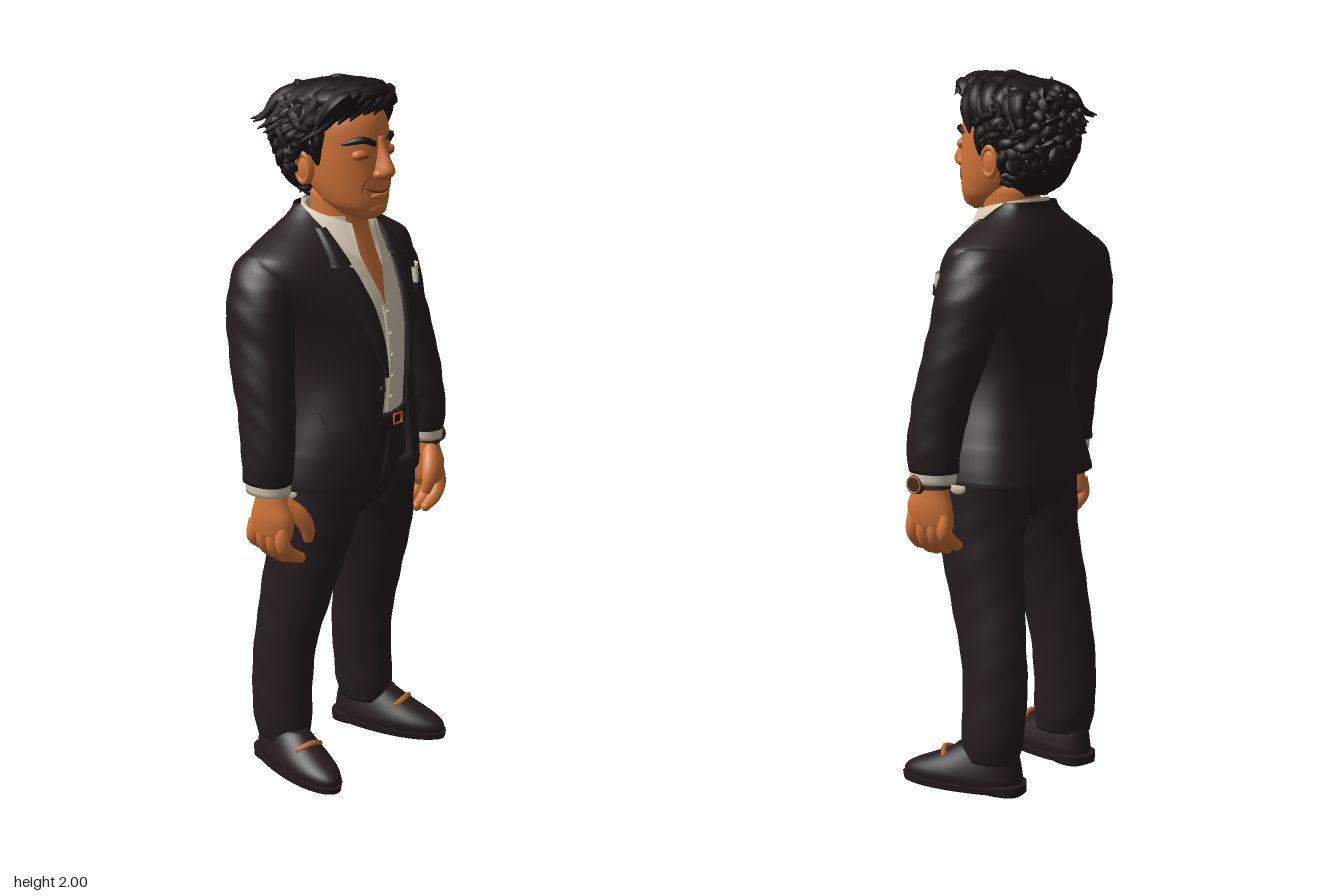
import * as THREE from 'three';
import { mergeGeometries, mergeVertices } from 'three/addons/utils/BufferGeometryUtils.js';

const mat = (name, color, side = THREE.FrontSide) => {
  const m = new THREE.MeshStandardMaterial({ color, side });
  m.name = name;
  return m;
};
const V = (x, y, z) => new THREE.Vector3(x, y, z);

// Ring: [y, centre x, half width, front z, back z, half width of front opening]
function sample(rings, y) {
  let i = 0;
  while (i < rings.length - 2 && y > rings[i + 1][0]) i++;
  const at = k => rings[Math.min(Math.max(k, 0), rings.length - 1)];
  const a = at(i - 1), b = at(i), c = at(i + 1), d = at(i + 2);
  const t = Math.min(Math.max((y - b[0]) / (c[0] - b[0]), 0), 1);
  return b.map((p, k) => k === 0 ? y : p + 0.5 * t * (c[k] - a[k]
    + t * (2 * a[k] - 5 * p + 4 * c[k] - d[k] + t * (3 * (p - c[k]) + d[k] - a[k]))));
}
const frontZ = (rings, x, y) => {
  const [, cx, rx, zf, zb] = sample(rings, y);
  return (zf + zb) / 2 + (zf - zb) / 2 * Math.sqrt(Math.max(0, 1 - ((x - cx) / rx) ** 2));
};
function grid(rows) {
  const pos = [], idx = [], n = rows[0].length;
  rows.forEach((r, i) => r.forEach((p, j) => {
    pos.push(p.x, p.y, p.z);
    if (!i || !j) return;
    const a = (i - 1) * n + j - 1;
    idx.push(a, a + 1, a + n, a + 1, a + n + 1, a + n);
  }));
  const g = new THREE.BufferGeometry();
  g.setAttribute('position', new THREE.Float32BufferAttribute(pos, 3));
  g.setIndex(idx);
  return g;
}
// Smooth body through horizontal rings, from the lowest upward
function loft(rings, { n = 36, steps = 4, back = 2, fold = 0, freq = 60, open = false } = {}) {
  const rows = [], ys = [rings[0][0]];
  for (let i = 1; i < rings.length; i++) for (let k = 1; k <= steps; k++)
    ys.push(THREE.MathUtils.lerp(rings[i - 1][0], rings[i][0], k / steps));
  for (const y of ys) {
    const [, cx, rx, zf, zb, gap = 0] = sample(rings, y);
    const a0 = open ? Math.asin(Math.min(1, Math.max(0, gap / rx))) : 0, row = [];
    for (let j = 0; j <= n; j++) {
      const a = a0 + (2 * Math.PI - 2 * a0) * j / n, s = Math.sin(a), c = Math.cos(a);
      const e = 2 / (c > 0 ? 2 : back), f = 1 + fold * Math.sin(y * freq + 3 * s + 2 * c) * Math.sin(y * 17 + 2 * c);
      row.push(V(cx + f * rx * Math.sign(s) * Math.abs(s) ** e, y,
        (zf + zb) / 2 + f * (zf - zb) / 2 * Math.sign(c) * Math.abs(c) ** e));
    }
    rows.push(row);
  }
  if (!open) {
    const cap = r => r.map(() => V(r.reduce((t, p) => t + p.x, 0) / r.length, r[0].y, (r[0].z + r[n / 2].z) / 2));
    rows.unshift(cap(rows[0]));
    rows.push(cap(rows[rows.length - 1]));
  }
  const g = open ? grid(rows) : mergeVertices(grid(rows), 1e-5);
  g.computeVertexNormals();
  return g;
}
// Tapered tube for fingers, locks and face lines
function taper(points, r, end = 0.1, start = 0.6, seg = 8, sides = 7) {
  const curve = new THREE.CatmullRomCurve3(points), g = new THREE.TubeGeometry(curve, seg, r, sides);
  const p = g.attributes.position, v = V(0, 0, 0);
  for (let i = 0; i < p.count; i++) {
    const u = Math.floor(i / (sides + 1)) / seg, c = curve.getPointAt(u);
    const k = u < 0.4 ? THREE.MathUtils.lerp(start, 1, u / 0.4) : 1 - (1 - end) * ((u - 0.4) / 0.6) ** 2;
    v.fromBufferAttribute(p, i).sub(c).multiplyScalar(k).add(c);
    p.setXYZ(i, v.x, v.y, v.z);
  }
  g.computeVertexNormals();
  return g;
}
// Raised panel lying on the front of a lofted body
function panel(rings, s, y0, y1, inner, outer, lift = 0.01) {
  const rows = [];
  for (let i = 0; i <= 14; i++) {
    const y = y0 + (y1 - y0) * i / 14, row = [];
    for (const u of [0, 0.04, 0.35, 0.65, 0.96, 1]) {
      const x = inner(y) + (outer(y) - inner(y)) * u;
      row.push(V(s * x, y, frontZ(rings, x, y) + (u === 0 || u === 1 ? -0.004 : lift)));
    }
    rows.push(s > 0 ? row : row.reverse());
  }
  const g = grid(rows);
  g.computeVertexNormals();
  return g;
}

const JACKET = [[0.882, 0, 0.252, 0.195, -0.192, 0.125], [0.9, 0, 0.25, 0.198, -0.188, 0.1], [0.95, 0, 0.238, 0.202, -0.177, 0.085],
  [1.0, 0, 0.222, 0.206, -0.163, 0.073], [1.1, 0, 0.19, 0.21, -0.147, 0.055], [1.2, 0, 0.174, 0.209, -0.155, 0.046],
  [1.3, 0, 0.192, 0.202, -0.172, 0.052], [1.4, 0, 0.235, 0.176, -0.18, 0.065], [1.48, 0, 0.28, 0.132, -0.18, 0.08],
  [1.53, 0, 0.28, 0.095, -0.17, 0.09], [1.565, 0, 0.222, 0.07, -0.157, 0.098], [1.6, 0, 0.155, 0.04, -0.138, 0.1],
  [1.63, 0, 0.114, 0.01, -0.121, 0.1], [1.65, 0, 0.1, -0.01, -0.116, 0.0995]];
const SHIRT = [[1.03, 0, 0.155, 0.172, -0.11, 0], [1.2, 0, 0.15, 0.184, -0.12, 0], [1.3, 0, 0.16, 0.178, -0.12, 0], [1.4, 0, 0.17, 0.157, -0.12, 0.003],
  [1.5, 0, 0.15, 0.12, -0.12, 0.034], [1.58, 0, 0.11, 0.09, -0.11, 0.048], [1.63, 0, 0.095, 0.08, -0.1, 0.056]];
const HEAD = [[1.622, 0, 0.03, 0.118, 0.04], [1.635, 0, 0.057, 0.137, 0], [1.665, 0, 0.083, 0.146, -0.05], [1.71, 0, 0.099, 0.146, -0.09],
  [1.76, 0, 0.107, 0.144, -0.11], [1.82, 0, 0.11, 0.143, -0.12], [1.88, 0, 0.108, 0.135, -0.12], [1.92, 0, 0.09, 0.115, -0.11], [1.955, 0, 0.05, 0.07, -0.07]];

export function createModel() {
  const root = new THREE.Group();
  root.name = 'suitedMan';
  const suit = mat('dark suit cloth', 0x261c1e, THREE.DoubleSide), hairM = mat('black hair', 0x1c1516);
  const skin = mat('tan skin', 0xd27539), linen = mat('cream linen', 0xdaccb5, THREE.DoubleSide);
  const shoeM = mat('dark leather', 0x271b1c), strapM = mat('brown leather', 0x452a1e);
  const brass = mat('brass', 0xb86a30), lineM = mat('face line', 0x6e3422);
  const add = (name, geo, m) => {
    const mesh = new THREE.Mesh(geo, m);
    mesh.name = name;
    root.add(mesh);
  };
  const ball = (name, m, x, y, z, rx, ry, rz) => add(name, new THREE.SphereGeometry(1, 20, 14).scale(rx, ry, rz).translate(x, y, z), m);

  // Torso clothing
  add('jacket', loft(JACKET, { n: 56, back: 2.8, open: true }), suit);
  add('shirt', loft(SHIRT, { n: 48, open: true }), linen);
  add('shirtPlacket', panel(SHIRT, 1, 1.06, 1.39, () => -0.013, () => 0.013, 0.004), linen);
  for (let i = 0; i < 5; i++) ball('shirtButton', linen, 0, 1.13 + i * 0.06, frontZ(SHIRT, 0, 1.13 + i * 0.06) + 0.005, 0.006, 0.006, 0.004);
  add('belt', loft([[1.035, 0, 0.168, 0.183, -0.135], [1.085, 0, 0.164, 0.183, -0.13]]), shoeM);
  add('buckle', new THREE.TorusGeometry(0.02, 0.0035, 6, 4).rotateZ(Math.PI / 4).scale(1.2, 1, 1).translate(0.03, 1.06, 0.184), brass);
  add('pocketSquare', panel(JACKET, 1, 1.41, 1.456, y => 0.148 + (y - 1.41) * 0.25, y => 0.208 + (y - 1.41) * 0.25, 0.014), linen);
  add('breastPocket', panel(JACKET, 1, 1.39, 1.418, () => 0.145, () => 0.208, 0.018), suit);
  ball('jacketButton', suit, -0.062, 1.17, 0.207, 0.011, 0.011, 0.007);

  // Trousers top
  add('trouserHips', loft([[0.765, 0, 0.03, 0.08, -0.09], [0.82, 0, 0.12, 0.132, -0.137], [0.88, 0, 0.21, 0.148, -0.146],
    [0.95, 0, 0.2, 0.16, -0.14], [1.05, 0, 0.163, 0.172, -0.13]]), suit);
  add('trouserFly', taper([V(0.006, 1.03, 0.174), V(0.008, 0.93, 0.161), V(0, 0.86, 0.141)], 0.007, 0.6), suit);

  // Neck and head
  add('neckAndChest', loft([[1.34, 0, 0.1, 0.145, -0.05], [1.45, 0, 0.1, 0.122, -0.06], [1.52, 0, 0.09, 0.095, -0.08],
    [1.6, 0, 0.077, 0.072, -0.088], [1.69, 0, 0.078, 0.08, -0.09]]), skin);
  add('head', loft(HEAD, { n: 48 }), skin);
  add('nose', loft([[1.733, 0, 0.014, 0.16, 0.11], [1.745, 0, 0.025, 0.18, 0.11], [1.76, 0, 0.024, 0.188, 0.11],
    [1.785, 0, 0.018, 0.177, 0.11], [1.815, 0, 0.014, 0.16, 0.11], [1.85, 0, 0.013, 0.145, 0.11]], { n: 24 }), skin);
  ball('chin', skin, 0, 1.654, 0.12, 0.04, 0.026, 0.028);
  ball('lowerLip', skin, 0, 1.69, 0.138, 0.036, 0.012, 0.015);
  const onFace = (x, y, d = 0.001) => V(x, y, frontZ(HEAD, x, y) + d);
  add('mouth', taper([-0.05, -0.025, 0, 0.025, 0.05].map(x => onFace(x, 1.701 + x * x * 5, 0.003)), 0.0035, 0.5, 0.5, 12), lineM);

  for (const s of [1, -1]) {
    // Face pairs
    ball('nostrilWing', skin, s * 0.021, 1.75, 0.15, 0.011, 0.012, 0.016);
    ball('eyelid', skin, s * 0.052, 1.803, 0.114, 0.028, 0.017, 0.02);
    add('eyeLine', taper([0.03, 0.05, 0.074].map((x, i) => V(s * x, 1.797 + (i === 1 ? 0.003 : 0), [0.13, 0.134, 0.123][i])), 0.0035, 0.5), lineM);
    add('eyebrow', taper([onFace(0.024, 1.832, 0.004), onFace(0.055, 1.845, 0.005), onFace(0.093, 1.832, 0.003)].map(p => V(s * p.x, p.y, p.z)), 0.01, 0.3, 0.8), hairM);
    add('smileFold', taper([onFace(0.034, 1.75), onFace(0.052, 1.728), onFace(0.058, 1.7)].map(p => V(s * p.x, p.y, p.z)), 0.0025, 0.2), lineM);
    ball('ear', skin, s * 0.118, 1.757, -0.022, 0.016, 0.044, 0.028);
    add('earRim', new THREE.TorusGeometry(0.026, 0.006, 8, 20).scale(0.9, 1.45, 1).rotateY(Math.PI / 2).translate(s * 0.128, 1.76, -0.024), skin);

    // Shirt collar, lapels and pocket flaps
    const edges = [[], [], []];
    for (let i = 0; i <= 14; i++) {
      const t = i / 14, a = Math.PI - t * (Math.PI - 0.5), x = s * Math.sin(a), c = Math.cos(a);
      edges[0].push(V(x * 0.108, 1.615 - 0.1 * t ** 3, -0.02 + (0.085 + 0.075 * t ** 2) * c));
      edges[1].push(V(x * 0.098, 1.66 - 0.05 * t * t, -0.02 + (0.085 + 0.03 * t) * c));
      edges[2].push(V(x * 0.086, 1.652 - 0.05 * t * t, -0.02 + 0.082 * c));
    }
    const collar = grid(edges);
    collar.computeVertexNormals();
    add('shirtCollar', collar, linen);
    const gap = y => sample(JACKET, y)[5] - 0.004;
    add('lapel', panel(JACKET, s, 1.2, 1.5, gap, y => gap(y) + 0.004 + 0.085 * (y - 1.2) / 0.3, 0.01), suit);
    add('jacketCollar', panel(JACKET, s, 1.508, 1.6, gap, y => gap(y) + 0.06 - (y - 1.508) * 0.42, 0.011), suit);
    add('pocketFlap', panel(JACKET, s, 1.06, 1.105, () => 0.118, () => 0.183, 0.012), suit);

    // Sleeve, cuff and hand
    add('sleeve', loft([[0.93, s * 0.322, 0.06, 0.094, -0.054], [1.0, s * 0.32, 0.066, 0.1, -0.06], [1.1, s * 0.308, 0.07, 0.092, -0.078],
      [1.19, s * 0.297, 0.077, 0.076, -0.105], [1.3, s * 0.277, 0.083, 0.056, -0.14], [1.4, s * 0.258, 0.088, 0.046, -0.16],
      [1.46, s * 0.243, 0.086, 0.035, -0.162], [1.505, s * 0.228, 0.078, 0.015, -0.155], [1.535, s * 0.21, 0.065, -0.01, -0.135], [1.552, s * 0.19, 0.04, -0.03, -0.1]],
    { steps: 6, fold: 0.025 }), suit);
    add('shirtCuff', loft([[0.9, s * 0.322, 0.054, 0.09, -0.045], [0.945, s * 0.322, 0.057, 0.092, -0.05]]), linen);
    add('shirtTail', new THREE.SphereGeometry(1, 12, 8).scale(0.012, 0.02, 0.03).translate(s * 0.226, 0.868, 0.01), linen);
    add('hand', loft([[0.752, s * 0.318, 0.018, 0.084, -0.026], [0.78, s * 0.319, 0.034, 0.101, -0.04], [0.83, s * 0.32, 0.042, 0.107, -0.035],
      [0.875, s * 0.318, 0.041, 0.089, -0.02], [0.93, s * 0.318, 0.037, 0.07, -0.01]]), skin);
    for (let i = 0; i < 4; i++) {
      const z = 0.084 - i * 0.036, d = [0.008, 0, 0.004, 0.018][i];
      add('finger', taper([V(s * 0.328, 0.815, z), V(s * 0.333, 0.765, z), V(s * 0.31, 0.722 + d, z + 0.003), V(s * 0.268, 0.699 + d, z + 0.006)], 0.022, 0.65, 0.8, 10, 9), skin);
      ball('fingertip', skin, s * 0.268, 0.699 + d, z + 0.006, 0.0148, 0.0148, 0.0148);
    }
    add('thumb', taper([V(s * 0.312, 0.88, 0.065), V(s * 0.28, 0.84, 0.095), V(s * 0.26, 0.8, 0.108), V(s * 0.25, 0.757, 0.104)], 0.025, 0.5, 0.8, 10, 9), skin);

    // Trouser leg and shoe
    add('trouserLeg', loft([[0.09, s * 0.178, 0.066, 0.02, -0.15], [0.14, s * 0.177, 0.074, 0.024, -0.163], [0.2, s * 0.176, 0.075, 0.022, -0.17],
      [0.3, s * 0.17, 0.075, 0.026, -0.172], [0.4, s * 0.165, 0.075, 0.038, -0.166], [0.5, s * 0.156, 0.08, 0.068, -0.155], [0.6, s * 0.146, 0.087, 0.1, -0.142],
      [0.7, s * 0.134, 0.1, 0.125, -0.13], [0.8, s * 0.119, 0.114, 0.142, -0.13], [0.92, s * 0.112, 0.115, 0.15, -0.135]], { steps: 6, fold: 0.02, freq: 42 }), suit);
    const shoe = new THREE.Group();
    shoe.name = 'shoe';
    shoe.position.set(s * 0.195, 0, 0.002);
    shoe.rotation.y = s * 0.22;
    root.add(shoe);
    const part = (name, geo, m = shoeM) => {
      const mesh = new THREE.Mesh(geo, m);
      mesh.name = name;
      shoe.add(mesh);
    };
    part('shoeUpper', loft([[0.018, 0, 0.066, 0.196, -0.162], [0.04, 0, 0.07, 0.196, -0.164], [0.06, 0, 0.067, 0.172, -0.162],
      [0.085, 0, 0.06, 0.115, -0.158], [0.11, 0, 0.052, 0.06, -0.152], [0.13, 0, 0.045, 0.03, -0.148]], { back: 2.4 }));
    part('sole', loft([[0.004, 0, 0.069, 0.2, -0.168], [0.024, 0, 0.072, 0.203, -0.17]], { back: 2.4 }));
    part('heel', loft([[0, 0, 0.056, -0.045, -0.17], [0.03, 0, 0.058, -0.04, -0.17]], { back: 3 }));
    part('shoeBit', taper([V(-0.045, 0.092, 0.056), V(0, 0.11, 0.072), V(0.045, 0.092, 0.056)], 0.0085, 0.9, 0.9), brass);
  }

  // Wristwatch
  add('watchStrap', loft([[0.885, 0.322, 0.045, 0.086, -0.03], [0.902, 0.322, 0.045, 0.086, -0.03]]), strapM);
  add('watchCase', new THREE.CylinderGeometry(0.025, 0.028, 0.016, 24).rotateZ(-Math.PI / 2).translate(0.372, 0.898, 0.045), strapM);
  add('watchBezel', new THREE.TorusGeometry(0.022, 0.003, 6, 24).rotateY(Math.PI / 2).translate(0.379, 0.898, 0.045), brass);

  // Hair mass
  ball('hairCrown', hairM, 0, 1.855, -0.05, 0.143, 0.13, 0.135);
  ball('hairNape', hairM, 0, 1.765, -0.09, 0.118, 0.1, 0.095);
  ball('hairFront', hairM, -0.01, 1.944, 0.04, 0.122, 0.045, 0.09);
  let seed = 7;
  const rnd = () => (seed = (seed * 16807) % 2147483647) / 2147483647;

  // Curls over the back and sides
  const curls = [];
  for (let i = 0; i < 300; i++) {
    const y = 1 - 2 * (i + 0.5) / 300, a = i * 2.39996, h = Math.sqrt(1 - y * y);
    const n = V(h * Math.sin(a), y, h * Math.cos(a)), low = y < -0.1;
    const p = V(n.x * (low ? 0.13 : 0.142), 1.85 + y * (low ? 0.165 : 0.125), -0.055 + n.z * 0.128);
    if (y > 0.75 || (p.y < 1.83 && p.z > -0.06) || (p.z > 0.02 && Math.abs(p.x) < 0.125)) continue;
    const t = V(rnd() - 0.5, 0.15 - rnd() * 0.9, rnd() - 0.5).projectOnPlane(n).normalize(), k = 0.7 + rnd() * 0.5;
    const at = (out, along) => p.clone().addScaledVector(n, out * k).addScaledVector(t, along * k);
    curls.push(taper([at(-0.015, -0.02), at(0.012, -0.005), at(0.018, 0.015), at(0.012, 0.032), at(0.026, 0.045)], 0.0155, 0.08, 0.7, 7, 6));
  }
  add('hairCurls', mergeGeometries(curls), hairM);

  // Long locks fanned from the parting, over the top and down both sides
  const locks = [];
  for (let i = 0; i < 13; i++) {
    const z = 0.118 - i * 0.019, j = (rnd() - 0.5) * 0.022, b = Math.max(0, i - 7) * 0.004, w = -0.03 - rnd() * 0.04;
    locks.push(taper([V(0.08, 1.93 - b, z - 0.005), V(0.035, 1.968 + j / 2 - b, z + 0.014), V(-0.04, 1.972 + j / 2 - b, z + 0.008),
      V(-0.11, 1.935 + j, z + w / 2), V(-0.15, 1.885 + j, z + w), V(-0.176 + j, 1.868 + j * 2, z + 1.5 * w)], 0.023, 0.08, 0.6, 14, 8));
    if (i > 2) locks.push(taper([V(0.05, 1.945 - b, z), V(0.09, 1.953 + j - b, z - 0.008), V(0.133, 1.915 + j, z + w / 2),
      V(0.148, 1.865, z + w), V(0.168 + j, 1.85 + j * 2, z + w * 1.4)], 0.022, 0.08, 0.6, 12, 8));
  }
  for (let i = 0; i < 6; i++) {
    const x = 0.055 - i * 0.032;
    locks.push(taper([V(x + 0.02, 1.93, 0.085), V(x, 1.965, 0.118), V(x - 0.03, 1.948, 0.138 - i * 0.006),
      V(x - 0.055, 1.915 - i * 0.006, 0.122 - i * 0.013), V(x - 0.065, 1.905 - i * 0.006, 0.125 - i * 0.014)], 0.021, 0.1, 0.6, 10, 8));
  }
  // Side tufts flicking outward, sideburns and the cowlick
  for (let i = 0; i < 5; i++) {
    const y = 1.9 - i * 0.024, z = 0.03 - i * 0.016;
    locks.push(taper([V(-0.125, y + 0.02, z), V(-0.152, y, z), V(-0.168, y - 0.022, z - 0.01), V(-0.192 + i * 0.003, y - 0.02, z - 0.015)], 0.018, 0.05));
  }
  for (const s of [1, -1]) locks.push(taper([V(s * 0.112, 1.87, 0.02), V(s * 0.116, 1.82, 0.012), V(s * 0.11, 1.77, 0.014)], 0.02, 0.2));
  locks.push(taper([V(-0.01, 1.965, 0.03), V(-0.02, 1.988, 0.015), V(-0.035, 1.998, -0.01)], 0.016, 0.08));
  add('hairLocks', mergeGeometries(locks), hairM);
  return root;
}
